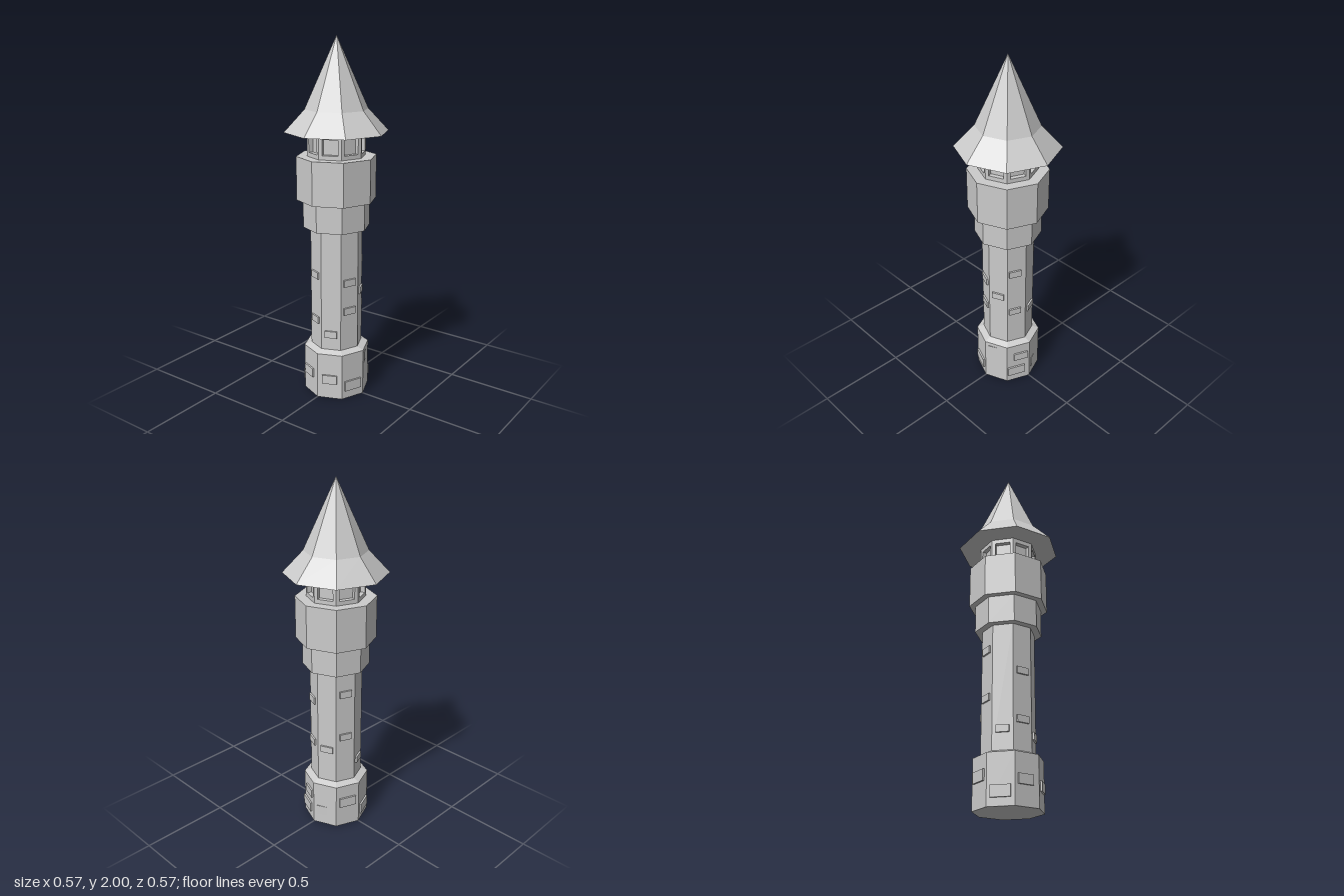
import * as THREE from 'three';

const SIDES = 8;
const COS = Math.cos(Math.PI / SIDES);
const mat = new THREE.MeshStandardMaterial({ color: 0xcccccc, flatShading: true });

function add(parent, geometry, name) {
  const mesh = new THREE.Mesh(geometry, mat);
  mesh.name = name;
  parent.add(mesh);
  return mesh;
}

// Octagonal drum or cone with corners on the x and z axes
function octagon(parent, name, rBottom, rTop, y0, y1, open = false) {
  const geo = new THREE.CylinderGeometry(rTop, rBottom, y1 - y0, SIDES, 1, open);
  add(parent, geo, name).position.y = (y0 + y1) / 2;
}

// Group turned so that its +z points out of a wall at the given angle
function wall(parent, name, degrees) {
  const group = new THREE.Group();
  group.name = name;
  group.rotation.y = THREE.MathUtils.degToRad(degrees);
  parent.add(group);
  return group;
}

export function createModel() {
  const tower = new THREE.Group();
  tower.name = 'tower';

  // Masonry body, from the ground up
  const BASE = 0.185, SHAFT = 0.145;
  octagon(tower, 'base', BASE, BASE, 0, 0.268);
  octagon(tower, 'baseSlope', BASE, SHAFT, 0.268, 0.284);
  octagon(tower, 'shaft', SHAFT, SHAFT, 0.28, 0.98);
  octagon(tower, 'collar', BASE, BASE, 0.975, 1.13);
  octagon(tower, 'upperStorey', 0.22, 0.22, 1.13, 1.37);

  // Lantern room: recessed core behind eight window frames
  const LANTERN = 0.16, DEPTH = 0.025, Y0 = 1.37, Y1 = 1.5;
  const apothem = LANTERN * COS;
  octagon(tower, 'windowPanes', LANTERN - DEPTH / COS, LANTERN - DEPTH / COS, Y0, Y1);
  const halfSide = LANTERN * Math.sin(Math.PI / SIDES);
  const rect = (Type, w, y0, y1) => new Type([
    new THREE.Vector2(-w, y0), new THREE.Vector2(w, y0),
    new THREE.Vector2(w, y1), new THREE.Vector2(-w, y1)]);
  const frameShape = rect(THREE.Shape, halfSide, Y0, Y1);
  frameShape.holes.push(rect(THREE.Path, 0.042, 1.393, 1.476));
  const frameGeo = new THREE.ExtrudeGeometry(frameShape, { depth: DEPTH, bevelEnabled: false });
  for (let i = 0; i < SIDES; i++) {
    const side = wall(tower, 'lanternWall', 22.5 + i * 45);
    add(side, frameGeo, 'windowFrame').position.z = apothem - DEPTH;
  }

  // Spire with a flared eave
  octagon(tower, 'eave', 0.284, 0.172, 1.5, 1.62);
  octagon(tower, 'spire', 0.172, 0, 1.62, 2, true);

  // Raised stones: [wall angle, wall radius, sideways shift, centre height, width, height, tilt]
  const stones = [
    [-22.5, BASE, 0, 0.077, 0.105, 0.058],
    [22.5, BASE, 0, 0.215, 0.1, 0.06, 0.06],
    [67.5, BASE, 0.015, 0.183, 0.085, 0.048],
    [67.5, BASE, -0.013, 0.077, 0.105, 0.058],
    [112.5, BASE, 0, 0.088, 0.1, 0.06, 0.06],
    [157.5, BASE, 0, 0.16, 0.1, 0.058],
    [202.5, BASE, 0, 0.073, 0.105, 0.06],
    [247.5, BASE, -0.01, 0.133, 0.085, 0.052],
    [292.5, BASE, 0, 0.117, 0.085, 0.052],
    [-22.5, SHAFT, 0, 0.68, 0.074, 0.04],
    [-22.5, SHAFT, 0, 0.514, 0.074, 0.04],
    [22.5, SHAFT, 0, 0.612, 0.07, 0.038],
    [67.5, SHAFT, -0.01, 0.774, 0.07, 0.04],
    [67.5, SHAFT, -0.01, 0.507, 0.07, 0.038],
    [112.5, SHAFT, 0, 0.491, 0.074, 0.038],
    [157.5, SHAFT, 0, 0.843, 0.07, 0.04],
    [157.5, SHAFT, 0, 0.575, 0.07, 0.038],
    [202.5, SHAFT, 0, 0.395, 0.07, 0.038],
    [247.5, SHAFT, 0, 0.713, 0.07, 0.038],
    [247.5, SHAFT, 0, 0.449, 0.07, 0.038],
    [292.5, SHAFT, 0, 0.377, 0.07, 0.04],
  ];
  for (const [angle, radius, shift, y, w, h, tilt = 0] of stones) {
    const side = wall(tower, 'stoneWall', angle);
    const stone = add(side, new THREE.BoxGeometry(w, h, 0.02), 'raisedStone');
    // Tilted stones are mostly sunk into the wall
    stone.position.set(shift, y, radius * COS - (tilt ? 0.009 : 0));
    stone.rotation.y = tilt;
  }
  return tower;
}
